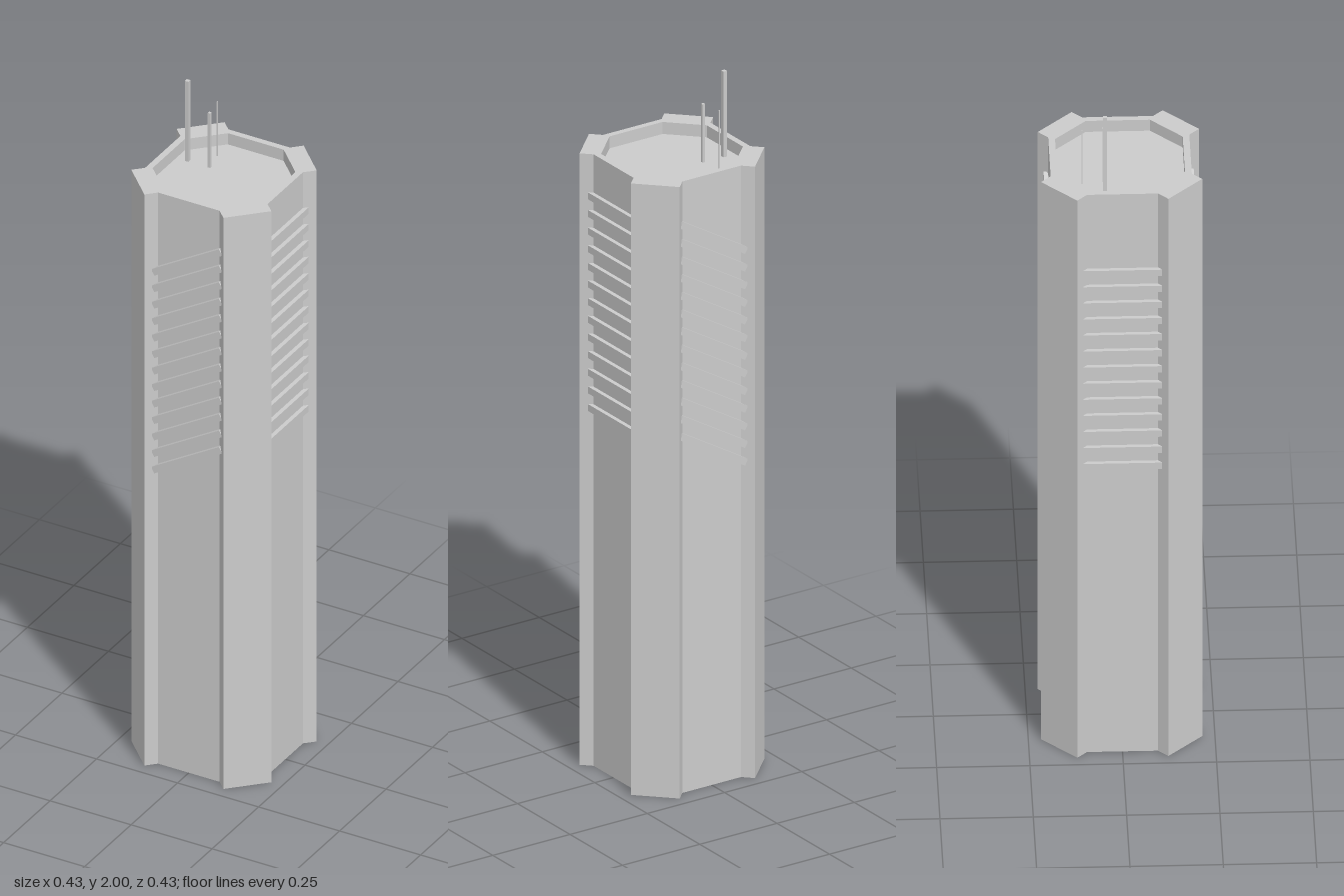
import * as THREE from 'three';

const material = new THREE.MeshStandardMaterial({ color: 0xcccccc, flatShading: true });

const TOP = 1.785, DECK = 1.75;

// Four-fold ring of points: the given corner run is turned by quarter turns
function ring(run) {
  const pts = [];
  for (let q = 0; q < 4; q++) {
    for (const [x, y] of run) {
      pts.push(new THREE.Vector2(x, y).rotateAround(new THREE.Vector2(), q * Math.PI / 2));
    }
  }
  return pts;
}

function add(group, name, geometry, x = 0, y = 0, z = 0) {
  const mesh = new THREE.Mesh(geometry, material);
  mesh.name = name;
  mesh.position.set(x, y, z);
  group.add(mesh);
  return mesh;
}

// Vertical prism between two heights
function prism(shape, y0, y1) {
  const g = new THREE.ExtrudeGeometry(shape, { depth: y1 - y0, bevelEnabled: false });
  return g.rotateX(-Math.PI / 2).translate(0, y0, 0);
}

export function createModel() {
  const model = new THREE.Group();
  model.name = 'tower';

  // Shaft: square walls with diagonal corner piers
  const outline = ring([[0.189, 0.095], [0.216, 0.122], [0.122, 0.216], [0.095, 0.189]]);
  add(model, 'shaft', prism(new THREE.Shape(outline), 0, DECK));

  // Parapet around the sunken roof deck
  const rim = new THREE.Shape(outline);
  rim.holes.push(new THREE.Path(ring([[0.171, 0.086], [0.086, 0.171]])));
  add(model, 'parapet', prism(rim, DECK, TOP));

  // Slats: each is a ring sloping up towards +x, level on the two side walls
  const slats = new THREE.Group();
  slats.name = 'slats';
  model.add(slats);
  const half = 0.105, rise = 0.125, size = 0.02, out = 0.191;
  const slope = Math.atan2(rise, 2 * half);
  const level = new THREE.BoxGeometry(size, size, 2 * half);
  const sloped = new THREE.BoxGeometry(Math.hypot(2 * half, rise), size, size);
  for (let i = 0; i < 13; i++) {
    const y = 0.983 + i * 0.0515;
    for (const s of [-1, 1]) {
      add(slats, s > 0 ? 'leftSlat' : 'rightSlat', level, s * out, y + s * rise / 2, 0);
      add(slats, s > 0 ? 'frontSlat' : 'backSlat', sloped, 0, y, s * out).rotation.z = slope;
    }
  }

  // Roof antennas: x, z, thickness, top height
  const antennas = [
    [-0.138, -0.045, 0.011, 2.0],
    [-0.07, -0.045, 0.008, 1.92],
    [-0.081, -0.105, 0.003, 1.92],
  ];
  for (const [x, z, w, top] of antennas) {
    add(model, 'antenna', new THREE.BoxGeometry(w, top - DECK, w), x, (top + DECK) / 2, z);
  }
  return model;
}
